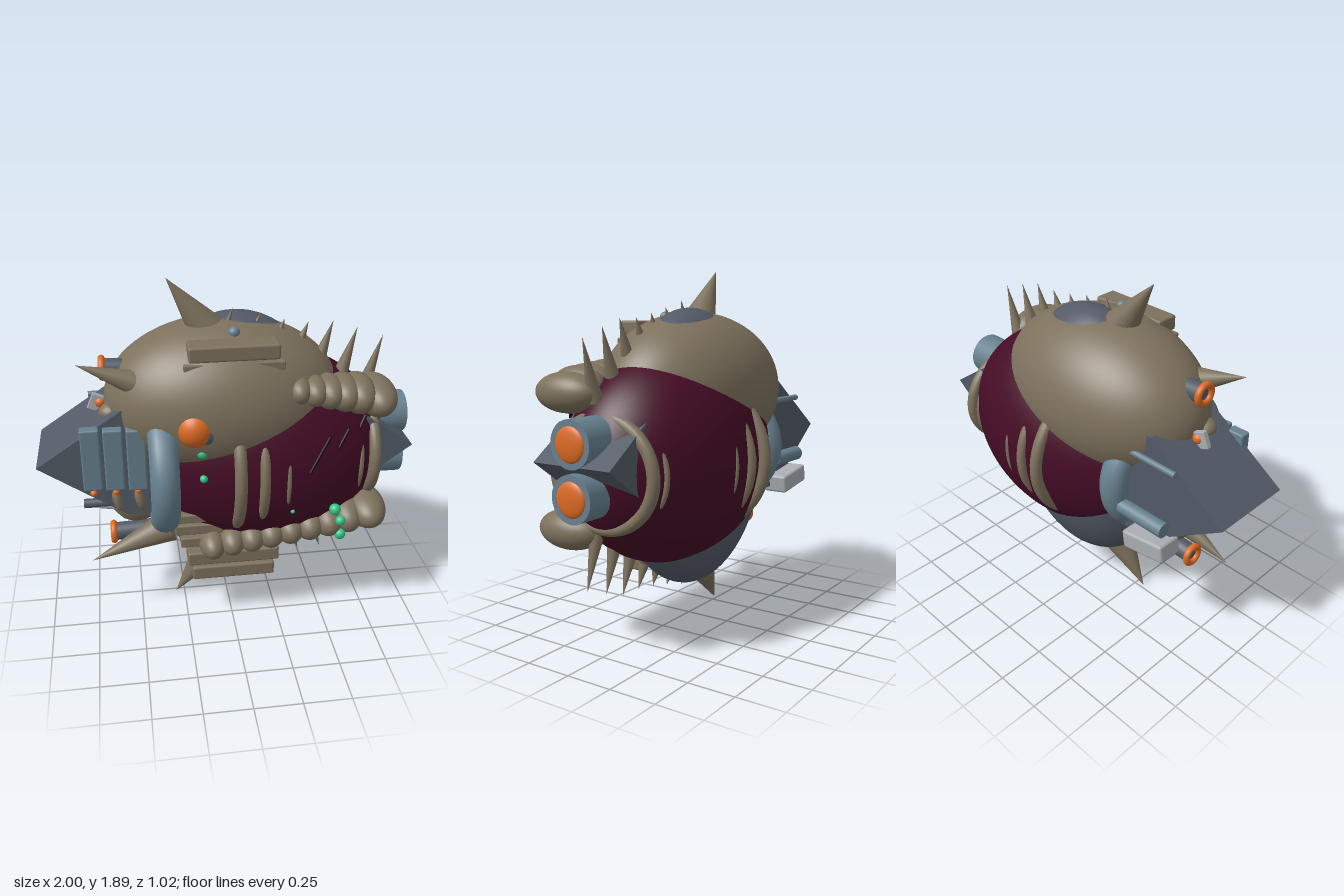
import * as THREE from 'three';
import { RoundedBoxGeometry } from 'three/addons/geometries/RoundedBoxGeometry.js';

const mat = (name, color) => {
  const m = new THREE.MeshStandardMaterial({ color });
  m.name = name;
  return m;
};

export function createModel() {
  const tan = mat('tan shell', 0x7d715d);
  const maroon = mat('maroon hull', 0x450c26);
  const slate = mat('slate metal', 0x535a66);
  const blue = mat('blue steel', 0x67818f);
  const orange = mat('orange glow', 0xdc6a22);
  const light = mat('light metal', 0xa9adb1);
  const green = mat('green bead', 0x30c488);
  const dark = mat('dark slit', 0x14060d);

  const root = new THREE.Group();
  const add = (name, geo, m, x = 0, y = 0, z = 0) => {
    const mesh = new THREE.Mesh(geo, m);
    mesh.name = name;
    mesh.position.set(x, y, z);
    root.add(mesh);
    return mesh;
  };
  const ball = (name, m, [x, y, z], [rx, ry, rz], seg = 24) => {
    const mesh = add(name, new THREE.SphereGeometry(1, seg * 2, seg), m, x, y, z);
    mesh.scale.set(rx, ry, rz);
    return mesh;
  };
  const box = (name, m, p, [w, h, d], rz = 0) => {
    const g = new RoundedBoxGeometry(w, h, d, 2, Math.min(w, h, d) * 0.15);
    const mesh = add(name, g, m, ...p);
    mesh.rotation.z = rz;
    return mesh;
  };
  // Tapered rod from point a (radius ra) to point b (radius rb)
  const rod = (name, m, a, b, ra, rb = ra, seg = 24) => {
    const A = new THREE.Vector3(...a), B = new THREE.Vector3(...b);
    const dir = B.clone().sub(A);
    const mesh = add(name, new THREE.CylinderGeometry(rb, ra, dir.length(), seg), m);
    mesh.position.copy(A).add(B).multiplyScalar(0.5);
    mesh.quaternion.setFromUnitVectors(new THREE.Vector3(0, 1, 0), dir.normalize());
    return mesh;
  };
  // Ring lying across the x axis
  const ring = (name, m, [x, y, z], outer, tube, sy = 1) => {
    const g = new THREE.TorusGeometry(outer - tube, tube, 14, 64);
    g.rotateY(Math.PI / 2);
    const mesh = add(name, g, m, x, y, z);
    mesh.scale.y = sy;
    return mesh;
  };

  // Overlapping hull shells
  ball('hull', maroon, [0.2, 0.93, -0.03], [0.68, 0.555, 0.44], 40);
  ball('upperShell', tan, [-0.02, 1.25, -0.01], [0.62, 0.42, 0.41], 40);
  ball('innerCore', slate, [0.05, 0.95, -0.04], [0.53, 0.74, 0.34], 32);
  ball('lowerRearShell', tan, [-0.5, 0.67, 0], [0.15, 0.14, 0.16], 8);

  // Wedge beam running through the hull, pointed at both ends
  const wedge = new THREE.Shape();
  [[-1, 0.98], [-0.55, 0.67], [0.55, 0.67], [0.98, 0.98], [0.55, 1.28], [-0.55, 1.28]]
    .forEach(([x, y], i) => (i ? wedge.lineTo(x, y) : wedge.moveTo(x, y)));
  add('wedgeBeam', new THREE.ExtrudeGeometry(wedge, { depth: 0.45, bevelEnabled: false }), slate, 0, 0, -0.25);

  // Thrusters
  for (const y of [1.08, 0.83]) {
    rod('thruster', blue, [0.7, y, -0.025], [0.98, y, -0.025], 0.115);
    ball('thrusterGlow', orange, [0.978, y, -0.025], [0.022, 0.085, 0.085]);
  }

  // Collar and hull ribs
  ring('collar', blue, [-0.36, 0.925, 0.07], 0.44, 0.075, 0.85);
  for (const [x, outer, tube, sy] of [[0.02, 0.485, 0.032, 0.9], [0.145, 0.47, 0.027, 0.9],
    [0.27, 0.447, 0.012, 0.9], [0.68, 0.325, 0.014, 0.9], [0.76, 0.325, 0.032, 0.92]]) {
    ring('rib', tan, [x, 0.915, -0.03], outer, tube, sy);
  }

  // Segmented arms
  const arm = (name, n, a, b, r0, r1) => {
    for (let i = 0; i < n; i++) {
      const t = i / (n - 1), r = r0 + (r1 - r0) * t;
      const p = a.map((v, k) => v + (b[k] - v) * t);
      ball(name, tan, p, [r * 0.92, r, r * 1.55], 16);
    }
  };
  arm('upperArmSegment', 5, [0.33, 1.365, 0.25], [0.65, 1.31, 0.21], 0.07, 0.1);
  ball('upperArmEnd', tan, [0.75, 1.285, 0.19], [0.105, 0.1, 0.185]);
  arm('lowerArmSegment', 8, [-0.11, 0.485, 0.25], [0.63, 0.595, 0.21], 0.078, 0.098);
  ball('lowerArmEnd', tan, [0.745, 0.615, 0.19], [0.11, 0.1, 0.185]);

  // Parts mirrored above and below y = 0.945
  const ridge = [[0, 1.64, 0.03, 1.73], [0.14, 1.62, 0.17, 1.69], [0.265, 1.57, 0.295, 1.66],
    [0.375, 1.52, 0.42, 1.64], [0.49, 1.45, 0.55, 1.64], [0.61, 1.36, 0.68, 1.6], [0.735, 1.25, 0.82, 1.55]];
  for (const up of [true, false]) {
    const Y = (y) => (up ? y : 1.89 - y);
    rod('largeSpike', tan, [-0.07, Y(1.57), 0], [-0.3, Y(1.89), 0.02], 0.11, 0);
    rod('rearSpike', tan, up ? [-0.48, 1.405, 0.15] : [-0.33, 0.545, 0.14], [-0.76, Y(1.52), 0.17], up ? 0.065 : 0.09, 0);
    ridge.forEach(([x0, y0, x1, y1], i) =>
      rod('ridgeSpike', tan, [x0, Y(y0), 0.03], [x1, Y(y1), 0.03], 0.018 + i * 0.004, 0, 12));
    box('armorBlock', tan, [0.005, Y(1.582), 0.225], [0.45, 0.08, 0.125]);
    box('armorPlate', tan, [0.005, Y(up ? 1.51 : 1.49), 0.225], [0.5, up ? 0.045 : 0.08, 0.12]);
    ball('shellStud', blue, [0.02, Y(1.64), 0.14], [0.03, 0.03, 0.03], 10);
    rod('exhaustPipe', slate, [-0.25, Y(1.42), 0.02], [-0.635, Y(1.44), 0.02], 0.05);
    ring('exhaustRing', orange, [-0.637, Y(1.44), 0.02], 0.066, 0.018);
  }
  box('lowerPlate', tan, [-0.1, 0.5, 0.2], [0.36, 0.06, 0.13]);
  box('lowerPlate', tan, [-0.18, 0.58, 0.2], [0.26, 0.06, 0.13]);
  box('lowerPlate', tan, [-0.2, 0.65, 0.2], [0.22, 0.05, 0.13]);

  // Eye with its socket
  ball('eyeSocket', slate, [-0.14, 1.205, 0.3], [0.1, 0.1, 0.095]);
  ball('eye', orange, [-0.195, 1.22, 0.315], [0.1, 0.103, 0.1]);

  // Slatted side panel with hanging beads and claws
  [-0.72, -0.605, -0.49].forEach((x, i) => {
    box('sidePanel', blue, [x, 1.02, 0.205 + i * 0.012], [0.098, 0.345, 0.06]);
    ball('panelBead', orange, [x, 0.827, 0.22], [0.018, 0.018, 0.018], 8);
    if (i) ball('panelClaw', tan, [x + 0.005, 0.765, 0.21], [0.025, 0.065, 0.03], 10).rotation.z = 0.25;
  });

  // Rear machinery
  box('rearBlock', light, [-0.6, 0.705, -0.28], [0.26, 0.1, 0.14], -0.15);
  box('rearPlate', light, [-0.6, 0.72, 0.1], [0.2, 0.09, 0.12], -0.15);
  rod('rearTube', blue, [-0.7, 0.84, -0.3], [-0.42, 0.84, -0.3], 0.04);
  rod('rearPipe', slate, [-0.78, 0.72, 0.14], [-0.5, 0.72, 0.14], 0.025);
  rod('upperPipe', blue, [-0.73, 1.17, -0.275], [-0.45, 1.17, -0.275], 0.016);
  ball('rearKnob', tan, [-0.6, 1.22, 0.08], [0.07, 0.05, 0.06], 12);
  box('rearFin', light, [-0.68, 1.23, -0.03], [0.07, 0.09, 0.03], -0.4);
  ball('rearLamp', orange, [-0.66, 1.23, -0.03], [0.03, 0.03, 0.03], 10);

  // Green beads
  for (const [x, y, z, r] of [[0.54, 0.69, 0.33, 0.031], [0.565, 0.635, 0.36, 0.027], [0.575, 0.535, 0.335, 0.03],
    [-0.165, 1.085, 0.335, 0.03], [-0.16, 0.94, 0.345, 0.021], [0.3, 0.725, 0.375, 0.012]]) {
    ball('greenBead', green, [x, y, z], [r, r, r], 10);
  }

  // Diagonal slits in the front of the hull
  for (const [x, y, z0, z1] of [[0.43, 1.05, 0.385, 0.355], [0.54, 1.065, 0.345, 0.305], [0.65, 1.09, 0.285, 0.215]]) {
    rod('hullSlit', dark, [x - 0.05, y - 0.09, z0 + 0.005], [x + 0.05, y + 0.09, z1 + 0.005], 0.009, 0.009, 8);
  }
  return root;
}
